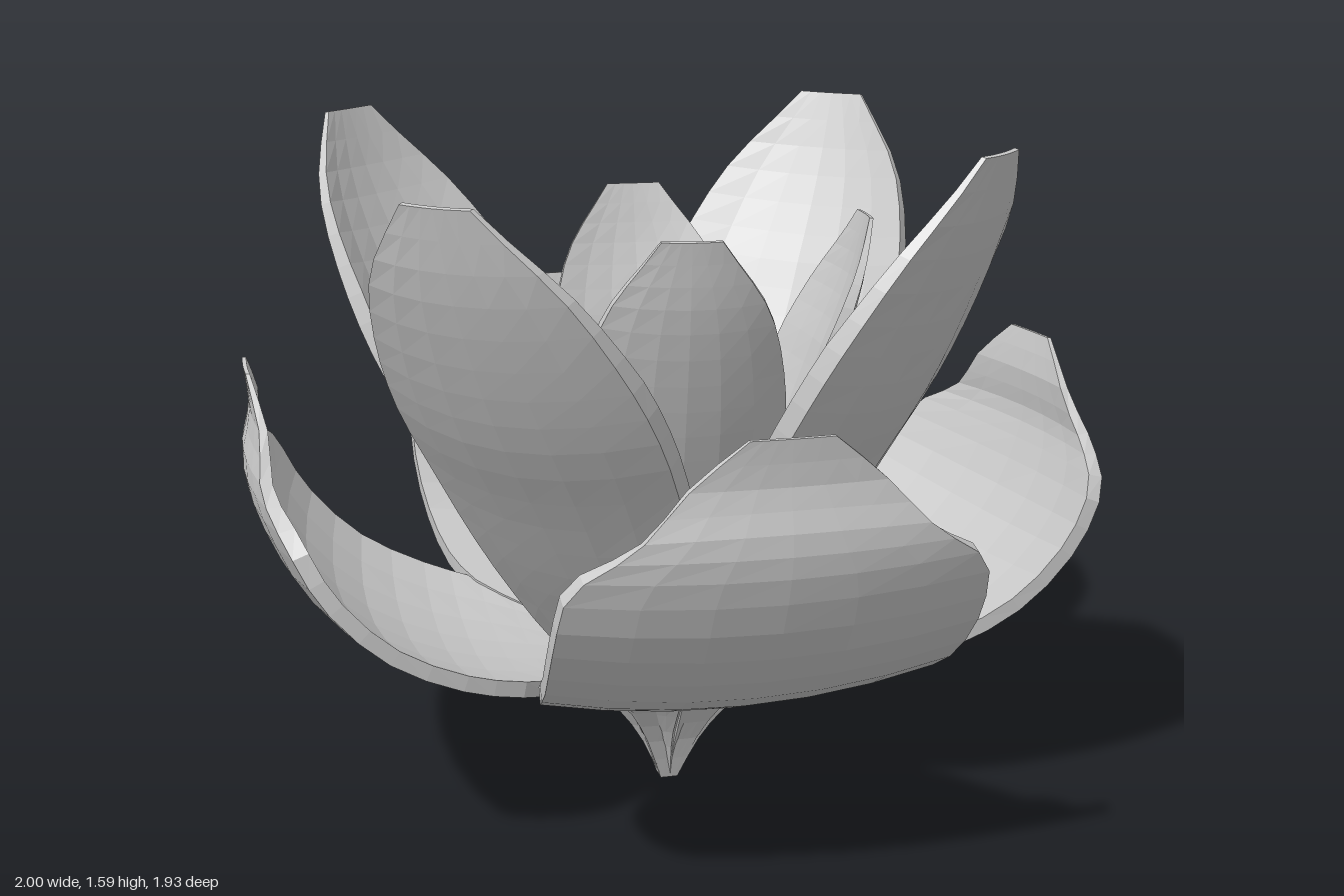
import * as THREE from 'three';

const material = new THREE.MeshStandardMaterial({ color: 0xcccccc, flatShading: true, side: THREE.DoubleSide });

// Thick cupped petal facing +z. Each rib is [distance from axis, height, half width];
// the cup deepens with the square of the width, so base and tip stay flat.
function petalGeometry(ribs, cup, thickness, rows = 24, cols = 6) {
  const spine = new THREE.CatmullRomCurve3(ribs.map((p) => new THREE.Vector3(...p)));
  const positions = [];
  const index = [];
  const ring = 2 * (cols + 1);

  for (let i = 0; i <= rows; i++) {
    const t = i / rows;
    const p = spine.getPoint(t);
    const tan = spine.getTangent(t);
    const len = Math.hypot(tan.x, tan.y);
    const nr = -tan.y / len; // normal towards the inside of the flower
    const ny = tan.x / len;
    const thick = thickness * Math.min(1, 0.3 + 3 * t, 0.25 + 3 * (1 - t));
    for (let k = 0; k < ring; k++) {
      const inner = k > cols;
      const v = ((inner ? ring - 1 - k : k) / cols) * 2 - 1;
      const x = v * p.z;
      const d = cup * x * x + (inner ? thick : 0);
      positions.push(x, Math.max(0, p.y + ny * d), p.x + nr * d);
    }
  }

  for (let i = 0; i < rows; i++) {
    for (let k = 0; k < ring; k++) {
      const a = i * ring + k;
      const b = i * ring + ((k + 1) % ring);
      index.push(a, b, b + ring, a, b + ring, a + ring);
    }
  }
  // caps at the base and the blunt tip
  const top = rows * ring;
  for (let k = 0; k < cols; k++) {
    const o = ring - 1 - k;
    index.push(top + k, top + k + 1, top + o - 1, top + k, top + o - 1, top + o);
    index.push(k, o - 1, k + 1, k, o, o - 1);
  }

  const geometry = new THREE.BufferGeometry();
  geometry.setAttribute('position', new THREE.Float32BufferAttribute(positions, 3));
  geometry.setIndex(index);
  geometry.computeVertexNormals();
  return geometry;
}

// Petal rings; each placement is [angle in degrees, reach scale, height scale].
const RINGS = [
  {
    name: 'outerPetal', cup: 0.25, thickness: 0.038,
    ribs: [
      [0.02, 0, 0.02], [0.065, 0.12, 0.064], [0.125, 0.22, 0.123], [0.24, 0.305, 0.24],
      [0.4, 0.335, 0.38], [0.56, 0.37, 0.43], [0.75, 0.46, 0.455], [0.9, 0.61, 0.465],
      [0.975, 0.76, 0.445], [0.995, 0.87, 0.32], [0.975, 0.97, 0.22], [0.985, 1.08, 0.09],
    ],
    places: [[1, 0.97, 1.01], [97, 1, 0.965], [182, 0.97, 1.01], [-92, 1, 1]],
  },
  {
    name: 'middlePetal', cup: 0.75, thickness: 0.045,
    ribs: [
      [0.01, 0, 0.015], [0.06, 0.13, 0.05], [0.15, 0.28, 0.13], [0.265, 0.44, 0.215],
      [0.395, 0.63, 0.28], [0.52, 0.83, 0.32], [0.64, 1.02, 0.333], [0.73, 1.2, 0.305],
      [0.81, 1.4, 0.23], [0.86, 1.59, 0.085],
    ],
    places: [[44, 0.98, 1], [136, 1.02, 1], [-134.5, 1.08, 0.995], [-43.5, 1.1, 0.965]],
  },
  {
    name: 'innerPetal', cup: 1.1, thickness: 0.038,
    ribs: [
      [0.01, 0, 0.01], [0.06, 0.17, 0.06], [0.14, 0.38, 0.16], [0.23, 0.6, 0.212],
      [0.32, 0.82, 0.232], [0.4, 1.03, 0.225], [0.465, 1.24, 0.175], [0.495, 1.41, 0.065],
    ],
    places: [[-9, 1.18, 1.01], [84, 0.97, 0.98], [177, 0.89, 0.995], [-88, 1.04, 1]],
  },
];

export function createModel() {
  const model = new THREE.Group();
  model.name = 'flower';

  for (const { name, cup, thickness, ribs, places } of RINGS) {
    const ringGroup = new THREE.Group();
    ringGroup.name = name + 'Ring';
    const geometry = petalGeometry(ribs, cup, thickness);
    places.forEach(([angle, reach, height], i) => {
      const petal = new THREE.Mesh(geometry, material);
      petal.name = name + (i + 1);
      petal.rotation.y = THREE.MathUtils.degToRad(angle);
      petal.scale.set(1, height, reach);
      ringGroup.add(petal);
    });
    model.add(ringGroup);
  }

  // small faceted bud in the heart of the flower
  const bud = new THREE.Mesh(new THREE.SphereGeometry(0.12, 8, 6), material);
  bud.name = 'centreBud';
  bud.scale.y = 0.6;
  bud.position.set(-0.04, 0.47, 0.02);
  model.add(bud);

  return model;
}
